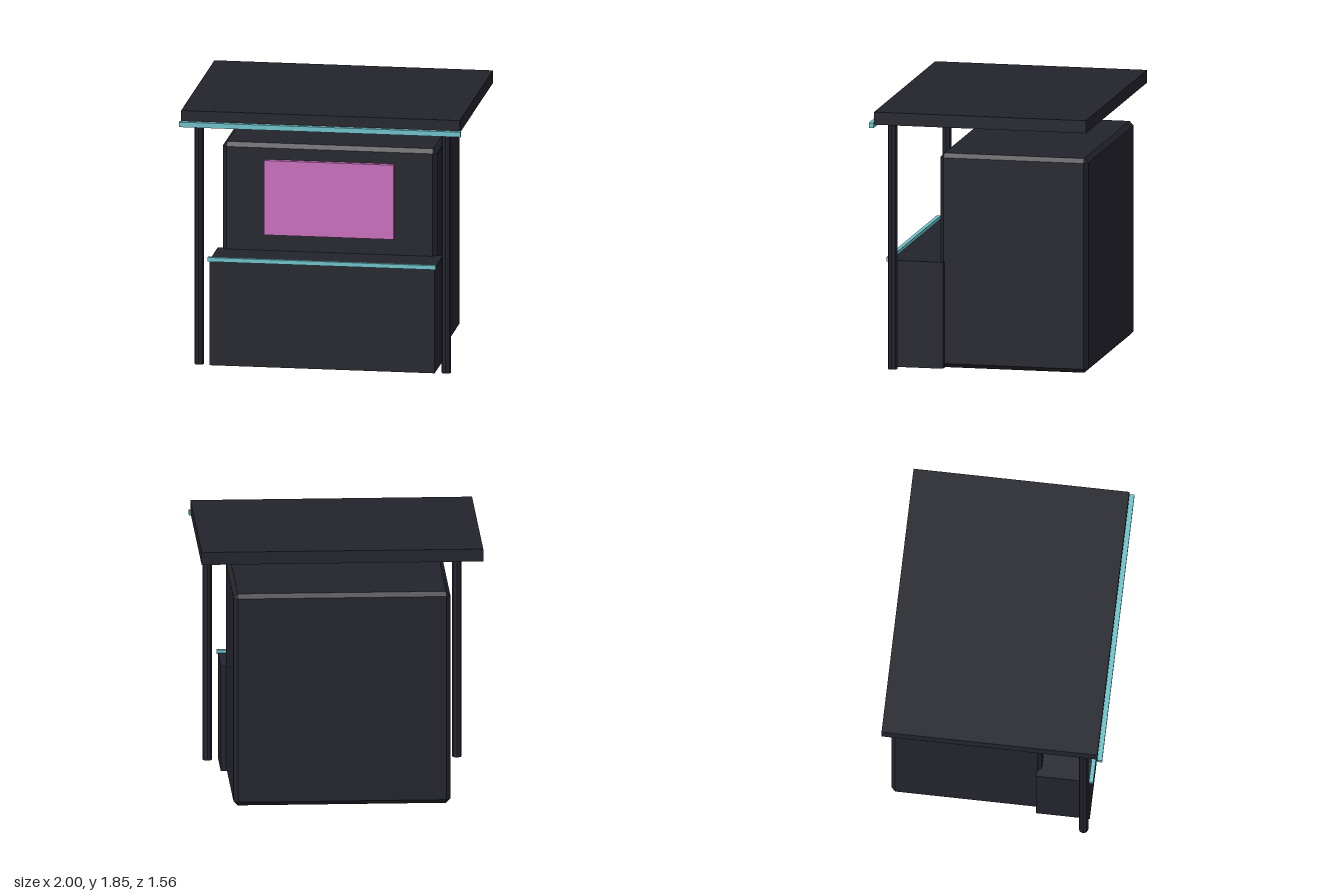
import * as THREE from 'three';
import { ConvexGeometry } from 'three/addons/geometries/ConvexGeometry.js';

const dark = new THREE.MeshStandardMaterial({ name: 'charcoal', color: 0x23232d });
const pink = new THREE.MeshStandardMaterial({ name: 'pink', color: 0xcb71be });
const teal = new THREE.MeshStandardMaterial({ name: 'teal', color: 0x6fc3ca });

// Box given by its minimum and maximum corners
function box(name, material, [x0, y0, z0], [x1, y1, z1]) {
  const mesh = new THREE.Mesh(new THREE.BoxGeometry(x1 - x0, y1 - y0, z1 - z0), material);
  mesh.position.set((x0 + x1) / 2, (y0 + y1) / 2, (z0 + z1) / 2);
  mesh.name = name;
  return mesh;
}

// Box centred on the origin with every edge cut at 45 degrees
function chamferedBox(w, h, d, c) {
  const points = [];
  for (const x of [-1, 1]) for (const y of [-1, 1]) for (const z of [-1, 1]) {
    for (let axis = 0; axis < 3; axis++) {
      const inset = [c, c, c];
      inset[axis] = 0;
      points.push(new THREE.Vector3(
        x * (w / 2 - inset[0]), y * (h / 2 - inset[1]), z * (d / 2 - inset[2])));
    }
  }
  return new ConvexGeometry(points);
}

export function createModel() {
  const group = new THREE.Group();
  group.name = 'kiosk';

  // Main cabin with chamfered edges
  const cabin = new THREE.Mesh(chamferedBox(1.525, 1.53, 1.065, 0.03), dark);
  cabin.position.set(0, 0.765, -0.2075);
  cabin.name = 'cabin';
  group.add(cabin);

  // Counter, display panel and roof
  group.add(
    box('counter', dark, [-0.8, 0, 0.29], [0.8, 0.76, 0.67]),
    box('counterTrim', teal, [-0.81, 0.753, 0.665], [0.81, 0.783, 0.695]),
    box('displayPanel', pink, [-0.46, 0.88, 0.32], [0.46, 1.417, 0.362]),
    box('roof', dark, [-0.99, 1.76, -0.78], [0.99, 1.85, 0.745]),
    box('roofTrim', teal, [-1, 1.738, 0.745], [1, 1.774, 0.78]),
  );

  // Pair of front posts
  const postGeometry = new THREE.CylinderGeometry(0.034, 0.034, 1.77, 8).toNonIndexed();
  postGeometry.computeVertexNormals();
  for (const side of [-1, 1]) {
    const post = new THREE.Mesh(postGeometry, dark);
    post.position.set(side * 0.878, 0.885, 0.635);
    post.name = side > 0 ? 'leftPost' : 'rightPost';
    group.add(post);
  }

  return group;
}
